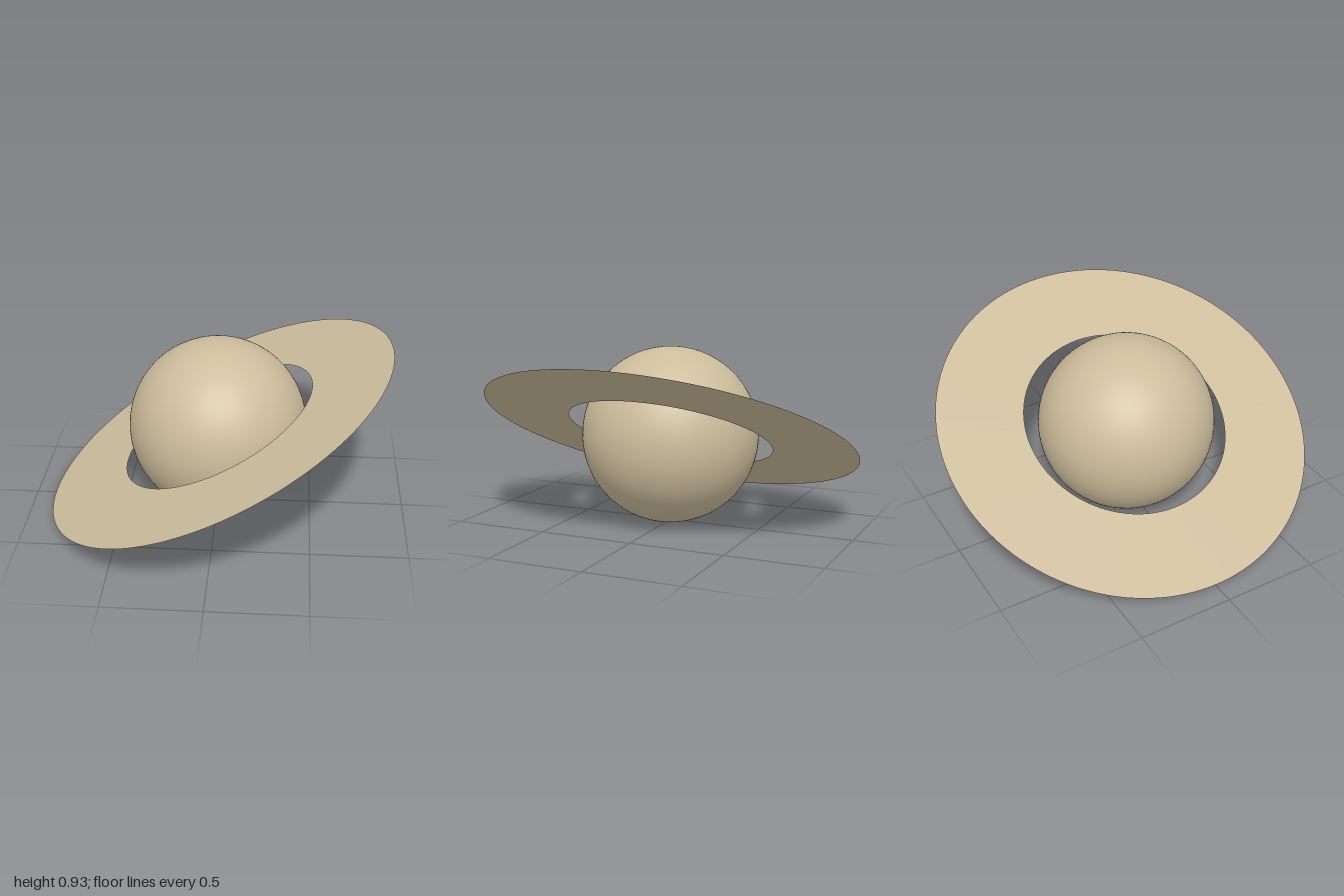
import * as THREE from 'three';

export function createModel() {
  const group = new THREE.Group();
  group.name = 'ringedPlanet';

  const sand = new THREE.MeshStandardMaterial({ color: 0xcdbd9c, side: THREE.DoubleSide });
  sand.name = 'sand';

  const radius = 0.466;
  const tilt = THREE.MathUtils.degToRad(26.7);

  // Planet and ring share one centre and one tilted axis
  const tilted = new THREE.Group();
  tilted.name = 'tiltedAxis';
  tilted.position.y = radius;
  tilted.rotation.z = tilt;
  group.add(tilted);

  // Planet ball
  const planet = new THREE.Mesh(new THREE.SphereGeometry(radius, 96, 64), sand);
  planet.name = 'planet';
  tilted.add(planet);

  // Paper-thin flat ring, laid in the equator plane
  const ringGeometry = new THREE.RingGeometry(0.547, 1, 160, 1);
  ringGeometry.rotateX(-Math.PI / 2);
  const ring = new THREE.Mesh(ringGeometry, sand);
  ring.name = 'ring';
  tilted.add(ring);

  return group;
}
